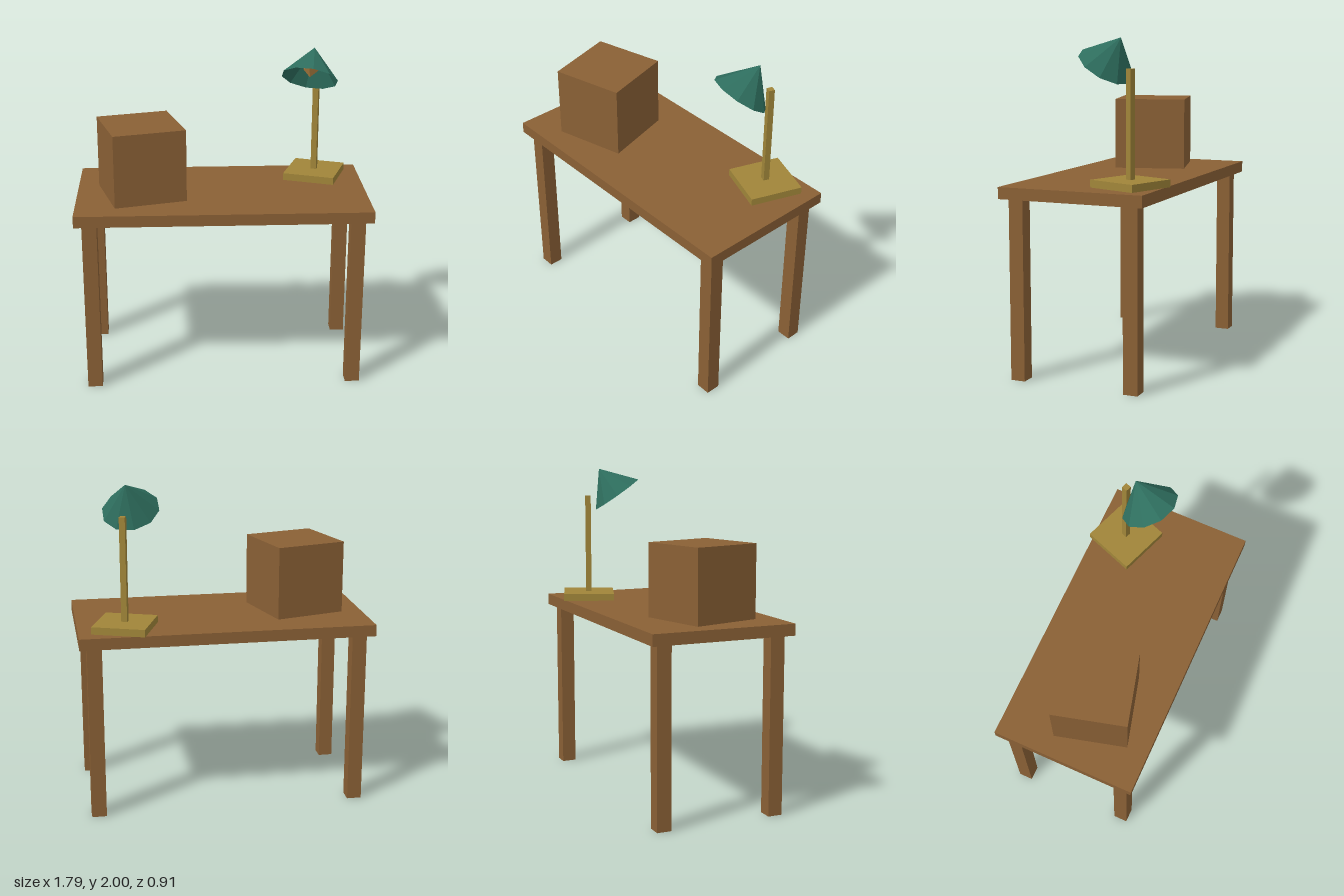
import * as THREE from 'three';

const material = (name, color, extra = {}) => {
  const m = new THREE.MeshStandardMaterial({ color, flatShading: true, ...extra });
  m.name = name;
  return m;
};

export function createModel() {
  const wood = material('brown wood', 0x8a6035);
  const brass = material('brass', 0xa08539);
  const green = material('shade green', 0x2e6e5e, { side: THREE.DoubleSide });
  const amber = material('bulb amber', 0xa0743a);

  const add = (parent, name, geometry, mat, x, y, z) => {
    const mesh = new THREE.Mesh(geometry, mat);
    mesh.name = name;
    mesh.position.set(x, y, z);
    parent.add(mesh);
    return mesh;
  };
  const box = (w, h, d) => new THREE.BoxGeometry(w, h, d);

  const model = new THREE.Group();
  model.name = 'deskWithLamp';

  // Table: slab and four square legs
  const table = new THREE.Group();
  table.name = 'table';
  table.position.z = 0.01;
  model.add(table);
  add(table, 'tableTop', box(1.786, 0.07, 0.895), wood, 0, 1.115, 0);
  for (const x of [-0.804, 0.804]) {
    for (const z of [-0.358, 0.358]) {
      add(table, (z > 0 ? 'front' : 'back') + (x > 0 ? 'Left' : 'Right') + 'Leg',
        box(0.089, 1.08, 0.089), wood, x, 0.54, z);
    }
  }

  // Crate, turned on the table
  const crate = add(model, 'crate', box(0.447, 0.447, 0.447), wood, -0.493, 1.3735, 0.053);
  crate.rotation.y = Math.PI / 12;

  // Desk lamp, its local +z pointing where the shade leans
  const lamp = new THREE.Group();
  lamp.name = 'lamp';
  lamp.position.set(0.608, 1.15, -0.248);
  lamp.rotation.y = -Math.PI / 9;
  model.add(lamp);
  add(lamp, 'lampBase', box(0.325, 0.045, 0.325), brass, 0, 0.0225, 0);
  add(lamp, 'lampPole', box(0.036, 0.63, 0.036), brass, 0, 0.36, 0);

  // Tilted open shade with a bulb inside
  const head = new THREE.Group();
  head.name = 'lampHead';
  head.position.set(0, 0.683, 0.19);
  head.rotation.x = -0.61;
  lamp.add(head);
  add(head, 'lampShade', new THREE.ConeGeometry(0.176, 0.203, 10, 1, true, Math.PI / 10),
    green, 0, 0.1015, 0);
  add(head, 'bulb', new THREE.OctahedronGeometry(0.05), amber, 0, 0.058, 0);

  return model;
}
